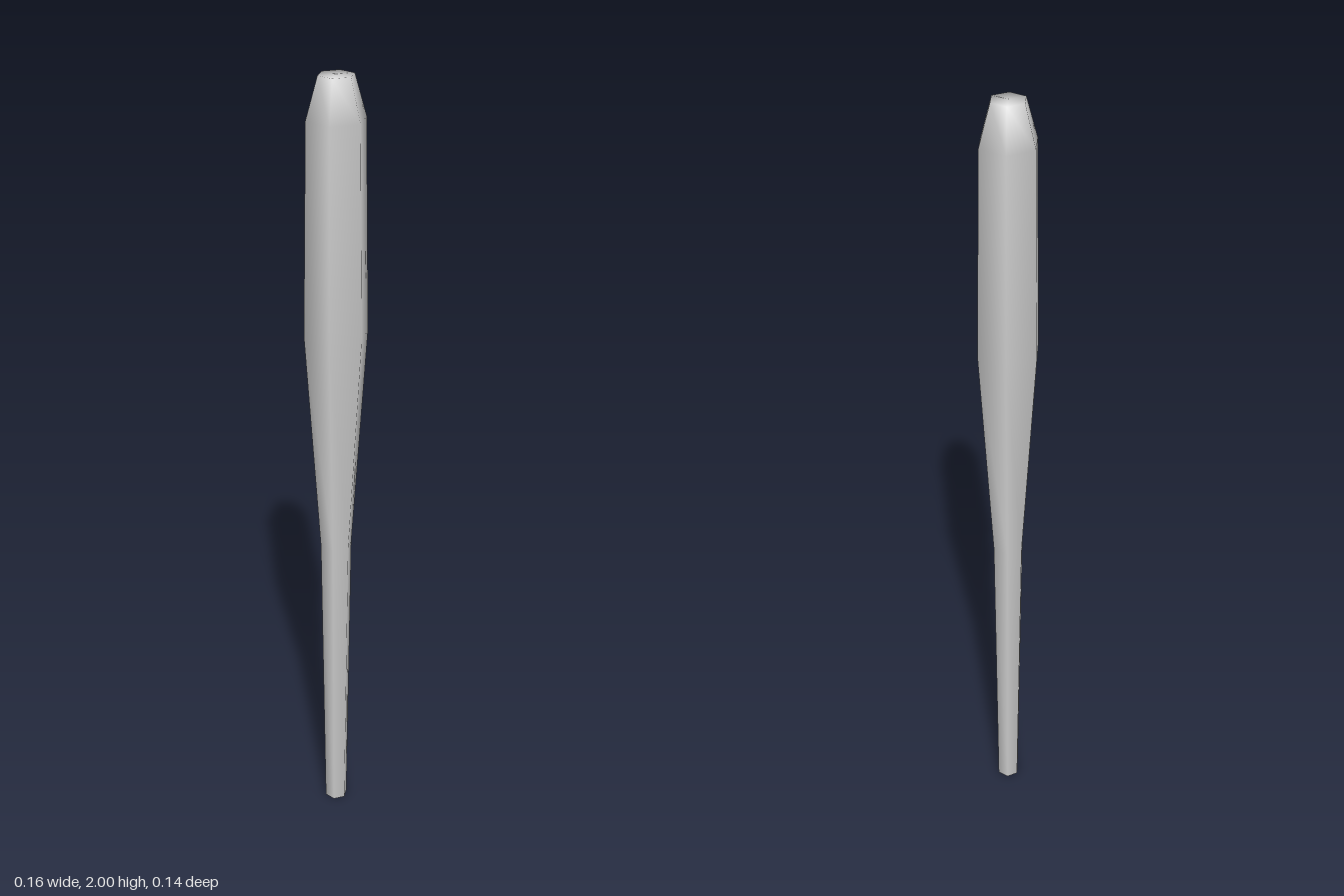
import * as THREE from 'three';

export function createModel() {
  const model = new THREE.Group();
  model.name = 'bat';

  // Radius and height pairs, from the handle end up to the barrel tip
  const profile = [
    [0, 0], [0.03, 0], [0.041, 0.8], [0.081, 1.38], [0.073, 1.9], [0.044, 2], [0, 2],
  ].map(([r, y]) => new THREE.Vector2(r, y));

  // Six-sided body with corners on the x axis, smooth shaded
  const body = new THREE.Mesh(
    new THREE.LatheGeometry(profile, 6, Math.PI / 2),
    new THREE.MeshStandardMaterial({ color: 0xcccccc }),
  );
  body.name = 'batBody';
  model.add(body);

  return model;
}
